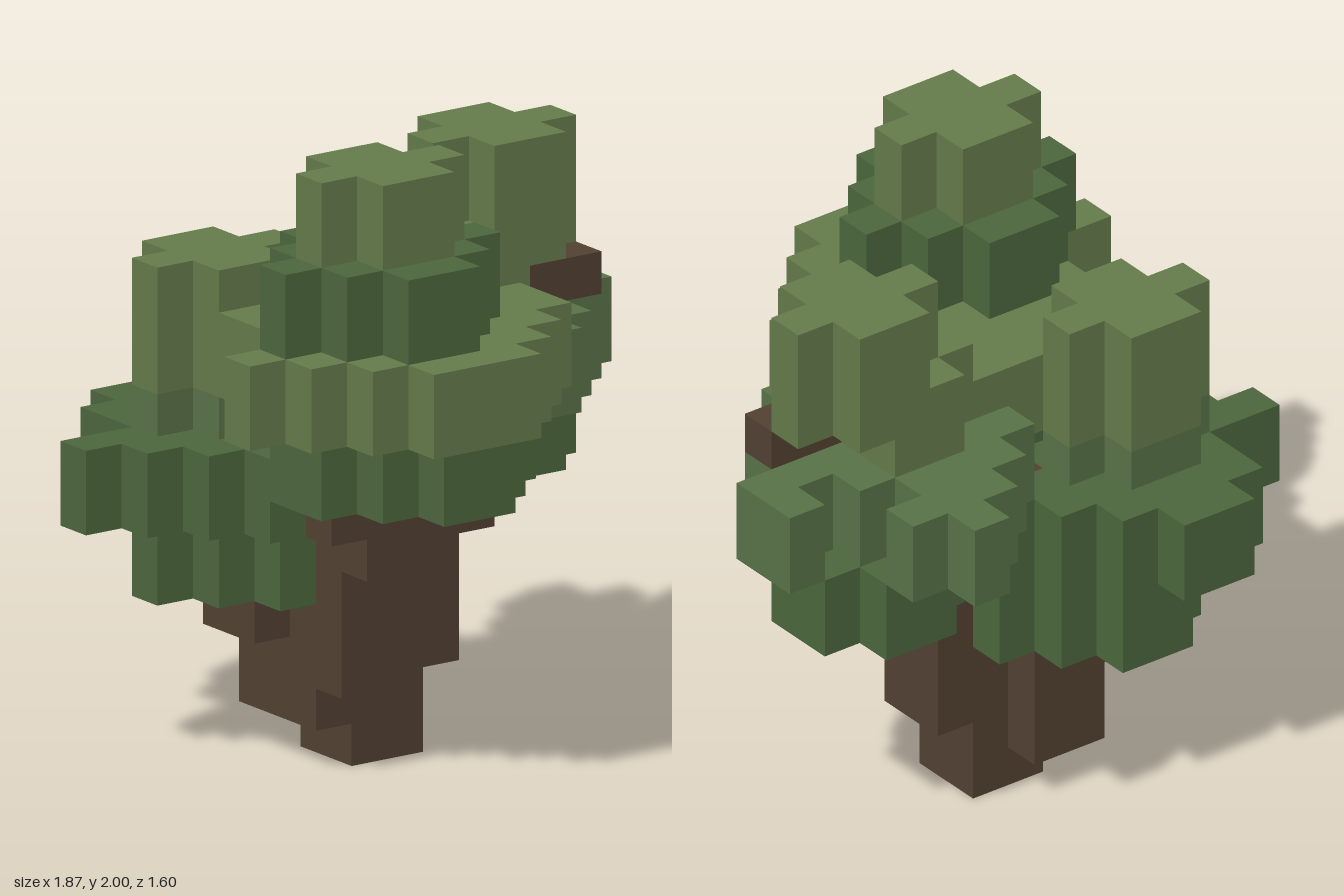
import * as THREE from 'three';
import { mergeGeometries } from 'three/addons/utils/BufferGeometryUtils.js';

const U = 2 / 15; // edge of one block
const LIGHT = 0x657b4b, MID = 0x597247, DARK = 0x4c673d, BROWN = 0x524132;
const HALF = Math.PI / 2;

// One outward face of a unit block, with the direction it looks in
const face = (x, y, z, rx, ry) => ({
  x, y, z,
  geo: new THREE.PlaneGeometry(1, 1).rotateX(rx).rotateY(ry).translate(x / 2, y / 2, z / 2),
});
const FACES = [
  face(1, 0, 0, 0, HALF), face(-1, 0, 0, 0, -HALF),
  face(0, 1, 0, -HALF, 0), face(0, -1, 0, HALF, 0),
  face(0, 0, 1, 0, 0), face(0, 0, -1, 0, Math.PI),
];
const key = (x, y, z) => `${x},${y},${z}`;

export function createModel() {
  const group = new THREE.Group();
  group.name = 'blockTree';
  const owner = new Map();
  const parts = [];

  // The first part to claim a cell keeps it
  const put = (x, y, z) => {
    if (!owner.has(key(x, y, z))) owner.set(key(x, y, z), { part: parts.at(-1), x, y, z });
  };
  const part = (name, color) => parts.push({ name, color, faces: [] });

  // Solid box of blocks
  const box = (x0, x1, y0, y1, z0, z1) => {
    for (let x = x0; x < x1; x++)
      for (let y = y0; y < y1; y++)
        for (let z = z0; z < z1; z++) put(x, y, z);
  };

  // Diamond-shaped leaf tier around (cx, cz), with an optional rule for gaps
  const tier = (y0, y1, cx, cz, r, keep = () => true) => {
    for (let x = -8; x < 8; x++)
      for (let z = -8; z < 8; z++)
        if (Math.abs(x + 0.5 - cx) + Math.abs(z + 0.5 - cz) <= r && keep(x, z))
          box(x, x + 1, y0, y1, z, z + 1);
  };

  part('trunk', BROWN);
  box(-1, 1, 0, 8, -2, 0);

  part('backBranch', BROWN);
  box(-2, 0, 1, 4, -3, 0);
  box(-3, -2, 3, 4, -3, -1);

  part('frontBranch', BROWN);
  box(-2, 0, 2, 5, 0, 1);
  box(-2, 0, 5, 7, 0, 2);
  box(-3, -2, 6, 7, 1, 2);

  part('sideBranch', BROWN);
  box(1, 2, 2, 8, -2, 0);
  box(2, 3, 5, 8, -2, 0);
  box(4, 6, 10, 11, -1, 0);

  // Front crown, top to bottom
  part('frontCrownTop', LIGHT);
  tier(13, 15, -2, 2.5, 1.5);
  part('frontCrownUpper', DARK);
  tier(11, 13, -2, 2.5, 2.5);
  part('frontCrownMiddle', LIGHT);
  tier(9, 11, -1.5, 2, 4.5, (x, z) => z < 6 && (z > 1 || x >= -4));
  box(0, 1, 9, 11, -2, -1);
  part('frontCrownLower', DARK);
  tier(7, 9, -1, 2, 3);

  // Side crown
  part('sideCrownTop', LIGHT);
  tier(12, 14, 4, -1.5, 1.5);
  box(2, 5, 11, 12, -3, 0);
  box(1, 6, 11, 12, -2, -1);
  box(2, 4, 10, 11, -3, 0);
  box(1, 2, 10, 11, -2, -1);
  part('sideCrownMiddle', MID);
  tier(8, 10, 3.5, -2, 3.5, (x, z) => !(z === -4 && x > 3) && !(z === -3 && x === 5));
  part('sideCrownLower', DARK);
  tier(6, 8, 4, -2, 2);

  // Back crown
  part('backCrownTop', LIGHT);
  tier(9, 12, -3, -2.5, 1.5);
  part('backCrownNeck', MID);
  tier(8, 9, -3, -2.5, 1.5);
  part('backCrownMiddle', DARK);
  tier(6, 8, -3, -2.5, 3.5, (x, z) => z !== -4 || x > -6);
  part('backCrownLower', DARK);
  tier(4, 6, -2, -2.5, 2.5);

  // Keep only the faces that look into an empty cell
  for (const { part: p, x, y, z } of owner.values())
    for (const f of FACES)
      if (!owner.has(key(x + f.x, y + f.y, z + f.z)))
        p.faces.push(f.geo.clone().translate(x + 0.5, y + 0.5, z + 0.5));

  for (const { name, color, faces } of parts) {
    const geo = mergeGeometries(faces).scale(U, U, U);
    const mesh = new THREE.Mesh(geo, new THREE.MeshStandardMaterial({ color }));
    mesh.name = name;
    group.add(mesh);
  }
  return group;
}
